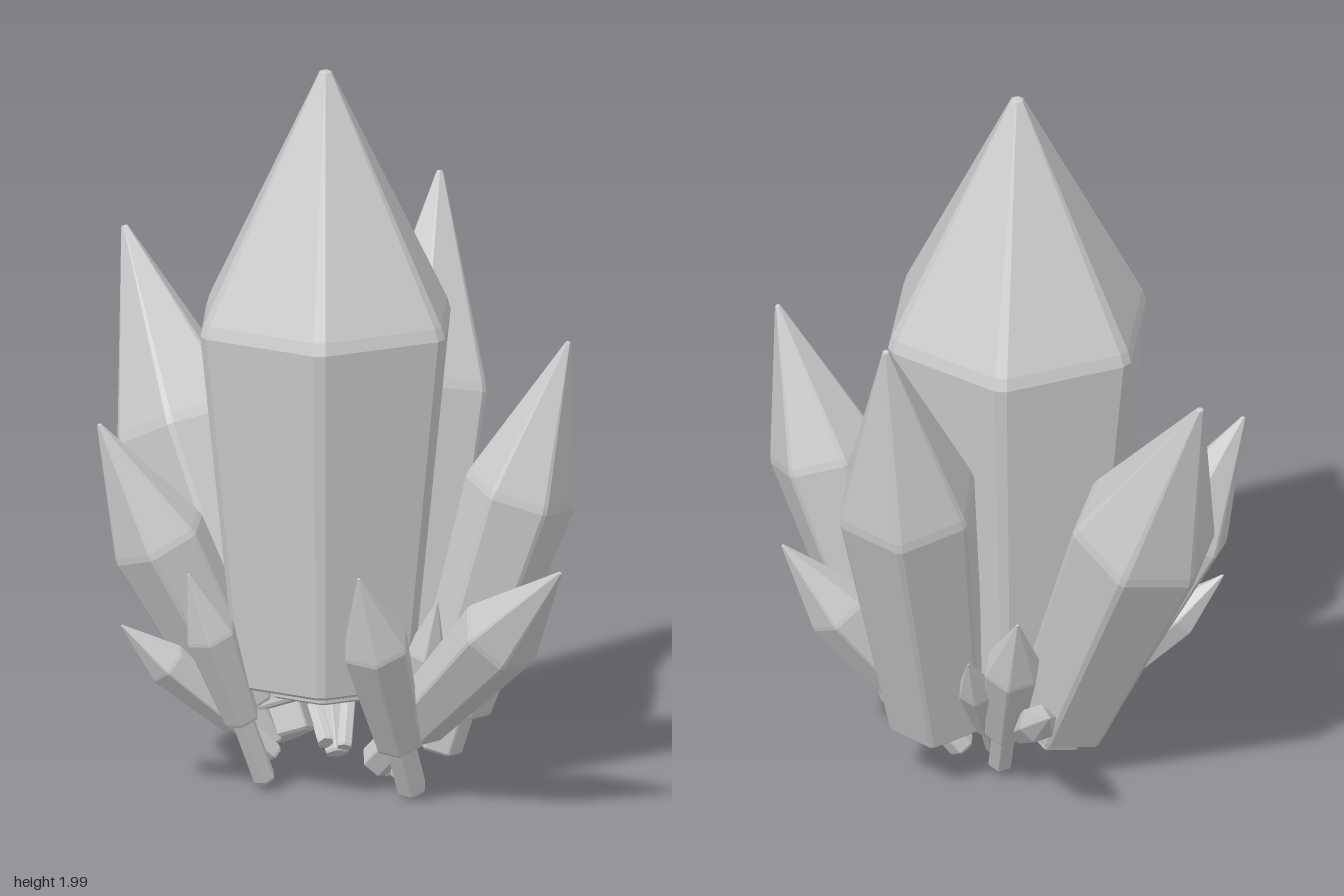
import * as THREE from 'three';

const material = new THREE.MeshStandardMaterial({ color: 0xcccccc, flatShading: true });

// Six-sided ring with narrow chamfered corners
const ANGLES = [];
for (let i = 0; i < 6; i++) {
  const a = (i * Math.PI) / 3;
  ANGLES.push(a - 0.045, a + 0.045);
}

// Stack rings of [radius, height] into a closed faceted solid
function facetedSolid(profile) {
  const pos = [];
  const point = ([r, y], i) => {
    const a = ANGLES[i % ANGLES.length];
    return [r * Math.sin(a), y, r * Math.cos(a)];
  };
  for (let k = 0; k < profile.length - 1; k++) {
    const low = profile[k], high = profile[k + 1];
    for (let i = 0; i < ANGLES.length; i++) {
      const a = point(low, i), b = point(low, i + 1);
      const c = point(high, i + 1), d = point(high, i);
      if (low[0] > 0) pos.push(...a, ...b, ...c);
      if (high[0] > 0) pos.push(...a, ...c, ...d);
    }
  }
  const geometry = new THREE.BufferGeometry();
  geometry.setAttribute('position', new THREE.Float32BufferAttribute(pos, 3));
  geometry.computeVertexNormals();
  return geometry;
}

// Crystal from base to tip: root stub, flaring shaft, bevelled shoulder, point
function crystal(name, base, tip, radius, stub, roll = 0) {
  const from = new THREE.Vector3(...base);
  const axis = new THREE.Vector3(...tip).sub(from);
  const length = axis.length();
  const foot = radius * 0.71, root = foot * 0.62;
  const geometry = facetedSolid([
    [0, -stub],
    [root * 0.9, -stub],
    [root, -stub + 0.008],
    [root, 0],
    [foot * 0.96, 0],
    [foot, 0.008],
    [radius, length * 0.585],
    [radius * 0.97, length * 0.605],
    [radius * 0.05, length * 0.998],
    [radius * 0.035, length],
    [0, length],
  ]);
  geometry.rotateY(THREE.MathUtils.degToRad(roll));
  const mesh = new THREE.Mesh(geometry, material);
  mesh.name = name;
  mesh.position.copy(from);
  mesh.quaternion.setFromUnitVectors(new THREE.Vector3(0, 1, 0), axis.normalize());
  return mesh;
}

export function createModel() {
  const group = new THREE.Group();
  group.name = 'crystalCluster';

  // name, base, tip, shoulder radius, stub length, roll in degrees
  const crystals = [
    ['mainCrystal', [-0.03, 0.31, 0.04], [-0.03, 2.0, 0.04], 0.372, 0.04],
    // Large side crystals
    ['tallBackCrystal', [0.16, 0.2, -0.18], [0.25, 1.56, -0.6], 0.195, 0.05],
    ['backRightCrystal', [-0.17, 0.18, -0.1], [-0.6, 1.41, -0.55], 0.2, 0.08, -8],
    ['leftCrystal', [0.31, 0.24, 0.04], [0.63, 1.27, 0.11], 0.153, 0.13, 30],
    ['rightCrystal', [-0.25, 0.22, -0.02], [-0.64, 1.02, 0.09], 0.135, 0.13, -8],
    // Medium crystals
    ['frontLeftCrystal', [0.22, 0.22, 0.16], [0.63, 0.755, 0.61], 0.115, 0.22, 15],
    ['frontCrystal', [0.18, 0.18, 0.23], [0.08, 0.7, 0.485], 0.095, 0.17],
    ['backLeftCrystal', [0.22, 0.19, -0.09], [0.58, 0.7, -0.195], 0.09, 0.2],
    ['backCrystal', [-0.03, 0.2, -0.25], [-0.1, 0.69, -0.53], 0.078, 0.18],
    ['frontRightCrystal', [-0.25, 0.22, 0.15], [-0.39, 0.655, 0.28], 0.072, 0.2],
    // Small shards
    ['rightShard', [-0.28, 0.2, 0.07], [-0.575, 0.48, 0.165], 0.06, 0.16],
    ['backRightShard', [-0.07, 0.17, -0.2], [-0.195, 0.447, -0.6], 0.052, 0.14],
    ['backShard', [0.02, 0.19, -0.22], [0.04, 0.53, -0.48], 0.05, 0.15],
    ['frontLeftShard', [0.2, 0.2, 0.12], [0.28, 0.57, 0.22], 0.055, 0.16],
  ];
  for (const spec of crystals) group.add(crystal(...spec));
  return group;
}
